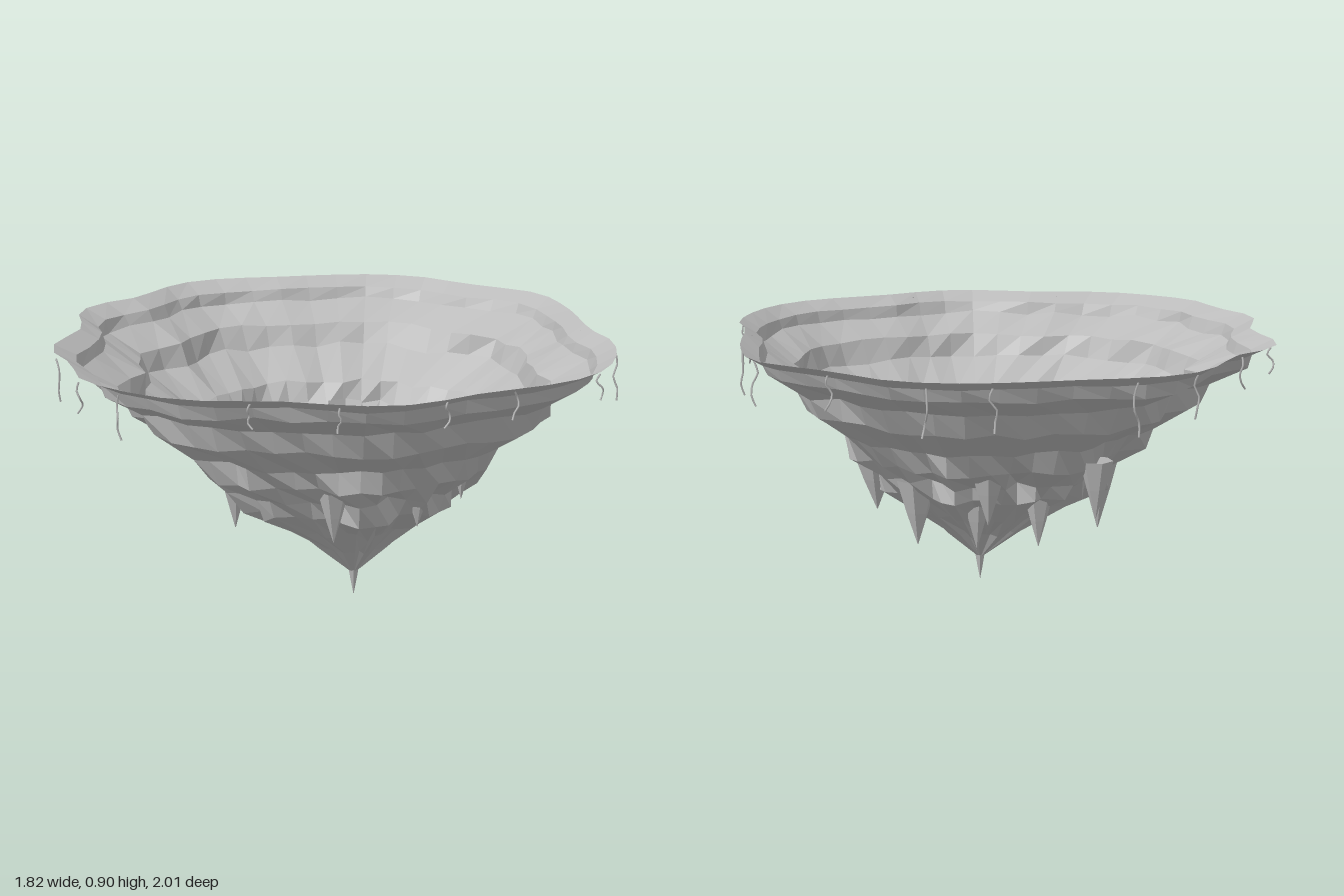
import * as THREE from 'three';

const stone = new THREE.MeshStandardMaterial({ color: 0xbbbbbb, side: THREE.DoubleSide });
stone.name = 'grey stone';

// small seeded random generator
let seed = 7;
const rand = () => {
  seed = (seed * 16807) % 2147483647;
  return seed / 2147483647;
};
const jitter = (a) => (rand() - 0.5) * 2 * a;

const APEX = { x: 0.07, y: 0.085, z: 0.095 };
const SEGMENTS = 52;

// wavy rim seen from above, as x, z pairs
const RIM = [
  0.03, -1, 0.16, -0.99, 0.27, -0.95, 0.4, -0.85, 0.56, -0.76, 0.68, -0.68, 0.73, -0.58,
  0.77, -0.45, 0.8, -0.32, 0.82, -0.18, 0.845, -0.05, 0.89, 0.06, 0.907, 0.19, 0.9, 0.32,
  0.86, 0.49, 0.79, 0.61, 0.69, 0.7, 0.56, 0.78, 0.45, 0.85, 0.35, 0.94, 0.24, 0.985,
  0.13, 0.99, 0, 0.97, -0.1, 0.96, -0.26, 0.975, -0.42, 0.945, -0.55, 0.87, -0.67, 0.77,
  -0.73, 0.63, -0.79, 0.5, -0.855, 0.4, -0.87, 0.29, -0.85, 0.16, -0.84, 0.04, -0.88, -0.08,
  -0.907, -0.21, -0.87, -0.34, -0.775, -0.45, -0.73, -0.56, -0.675, -0.71, -0.595, -0.81,
  -0.47, -0.87, -0.29, -0.92, -0.13, -0.97,
];
const rimPoints = [];
for (let i = 0; i < RIM.length; i += 2) rimPoints.push(new THREE.Vector3(RIM[i], 0.9, RIM[i + 1]));
const rimCurve = new THREE.CatmullRomCurve3(rimPoints, true);

// rock strata: scale towards the apex, height, roughness in radius and in height
const STRATA = [
  [1, 0.9, 0, 0], [0.928, 0.865, 0.006, 0.003], [0.91, 0.825, 0.008, 0.008],
  [0.78, 0.76, 0.018, 0.006], [0.75, 0.685, 0.018, 0.01], [0.59, 0.59, 0.025, 0.008],
  [0.555, 0.515, 0.025, 0.012], [0.455, 0.45, 0.035, 0.012], [0.42, 0.385, 0.035, 0.015],
  [0.27, 0.29, 0.03, 0.012], [0.13, 0.19, 0.012, 0.008], [0.012, 0.085, 0, 0],
];

function flat(geometry) {
  const g = geometry.index ? geometry.toNonIndexed() : geometry;
  g.computeVertexNormals();
  return g;
}

function makeMesh(name, geometry) {
  const m = new THREE.Mesh(geometry, stone);
  m.name = name;
  return m;
}

// open stepped cone built from the scaled rim outline
function rockShell() {
  const outline = rimCurve.getSpacedPoints(SEGMENTS).slice(0, SEGMENTS);
  const groove = outline.map(() => jitter(0.09));
  const positions = [];
  const index = [];
  STRATA.forEach(([scale, height, rough, lift], row) => {
    const depth = Math.max(0, (row - 4) / 7);
    outline.forEach((p, i) => {
      const s = scale * (1 + groove[i] * depth) + jitter(rough);
      positions.push(
        APEX.x + (p.x - APEX.x) * s,
        height + jitter(lift),
        APEX.z + (p.z - APEX.z) * s,
      );
      if (row === 0) return;
      const j = (i + 1) % SEGMENTS;
      const up = (row - 1) * SEGMENTS;
      const low = row * SEGMENTS;
      index.push(up + i, low + i, up + j, up + j, low + i, low + j);
    });
  });
  const g = new THREE.BufferGeometry();
  g.setAttribute('position', new THREE.Float32BufferAttribute(positions, 3));
  g.setIndex(index);
  return flat(g);
}

// hollow six-sided spike pointing down, open at its top
function spike(x, z, top, radius, length) {
  const g = new THREE.CylinderGeometry(radius, radius * 0.02, length, 6, 2, true);
  const pos = g.attributes.position;
  for (let i = 0; i < pos.count; i++) {
    if (Math.abs(pos.getY(i)) < 0.001) {
      pos.setX(i, pos.getX(i) * 1.06);
      pos.setZ(i, pos.getZ(i) * 1.06);
    }
  }
  g.rotateY(x * 9 + z * 5);
  g.translate(x, top - length / 2, z);
  return flat(g);
}

// thin crooked root hanging from the rim
function root(t) {
  const p = rimCurve.getPointAt(t);
  const s = 0.97 + rand() * 0.035;
  const length = 0.07 + rand() * 0.09;
  const points = [];
  for (let k = 0; k <= 4; k++) {
    const sway = k === 0 ? 0 : 0.012;
    points.push(new THREE.Vector3(
      p.x * s + jitter(sway), 0.885 - (length * k) / 4, p.z * s + jitter(sway),
    ));
  }
  return new THREE.TubeGeometry(new THREE.CatmullRomCurve3(points), 8, 0.003, 4, false);
}

export function createModel() {
  seed = 7;
  const model = new THREE.Group();
  model.name = 'floatingRockBase';
  model.add(makeMesh('rockShell', rockShell()));

  // x, z, top height, radius, length
  const spikes = [
    [-0.34, 0.04, 0.5, 0.08, 0.29], [-0.34, -0.36, 0.54, 0.055, 0.19],
    [0, -0.4, 0.54, 0.07, 0.21], [-0.15, -0.21, 0.39, 0.05, 0.18],
    [0.05, -0.25, 0.4, 0.055, 0.19], [0.245, -0.25, 0.44, 0.07, 0.22],
    [0.4, -0.105, 0.51, 0.085, 0.21], [0.265, -0.03, 0.38, 0.055, 0.17],
    [0.04, 0.51, 0.5, 0.05, 0.17], [0.295, 0.39, 0.48, 0.04, 0.13],
    [0.43, 0.28, 0.51, 0.028, 0.1],
    [APEX.x, APEX.z, 0.11, 0.022, 0.11],
  ];
  const spikeGroup = new THREE.Group();
  spikeGroup.name = 'hangingSpikes';
  for (const s of spikes) spikeGroup.add(makeMesh('spike', spike(...s)));
  model.add(spikeGroup);

  const roots = new THREE.Group();
  roots.name = 'hangingRoots';
  const count = 20;
  for (let i = 0; i < count; i++) {
    roots.add(makeMesh('root', root((i + 0.3 + rand() * 0.4) / count)));
  }
  model.add(roots);
  return model;
}
